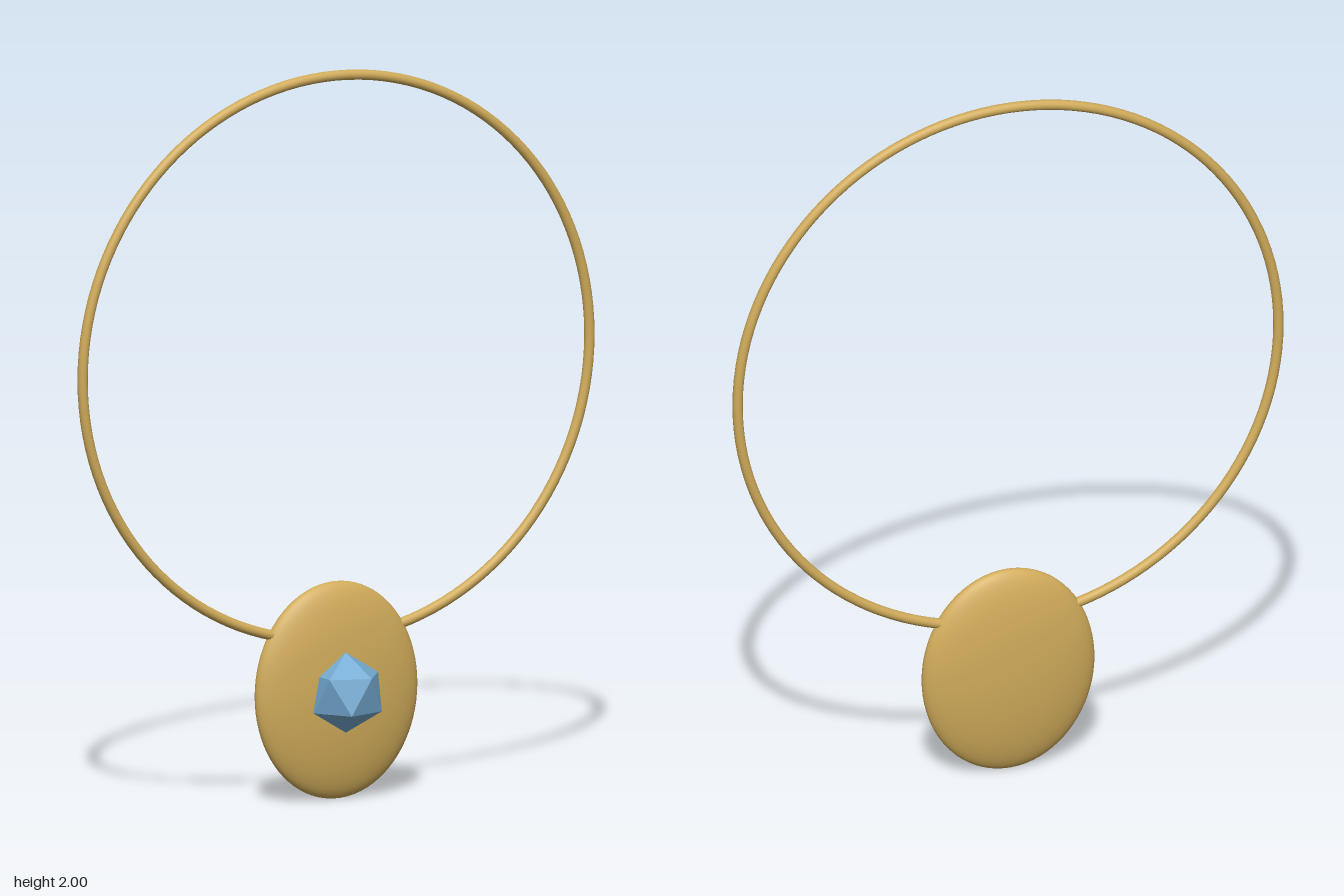
import * as THREE from 'three';

export function createModel() {
  const group = new THREE.Group();
  const gold = new THREE.MeshStandardMaterial({ color: 0xd0ab5a });
  gold.name = 'gold';
  const blue = new THREE.MeshStandardMaterial({ color: 0x76acd3, flatShading: true });
  blue.name = 'gem blue';

  const add = (name, geometry, material, y, z) => {
    const mesh = new THREE.Mesh(geometry, material);
    mesh.name = name;
    mesh.position.set(0, y, z);
    group.add(mesh);
  };

  // Thin neck ring, its lowest part passing through the pendant
  add('neckRing', new THREE.TorusGeometry(0.772, 0.014, 16, 128), gold, 1.214, -0.045);

  // Flattened oval pendant
  const oval = new THREE.SphereGeometry(1, 64, 40).scale(0.246, 0.298, 0.06);
  add('pendant', oval, gold, 0.302, -0.045);

  // Faceted gem, turned so that one corner points up and an upper corner points to +x
  const gem = new THREE.IcosahedronGeometry(0.11, 0);
  gem.rotateX(-Math.atan((1 + Math.sqrt(5)) / 2)).rotateY(Math.PI / 2);
  add('gem', gem, blue, 0.303, 0.012);

  return group;
}
